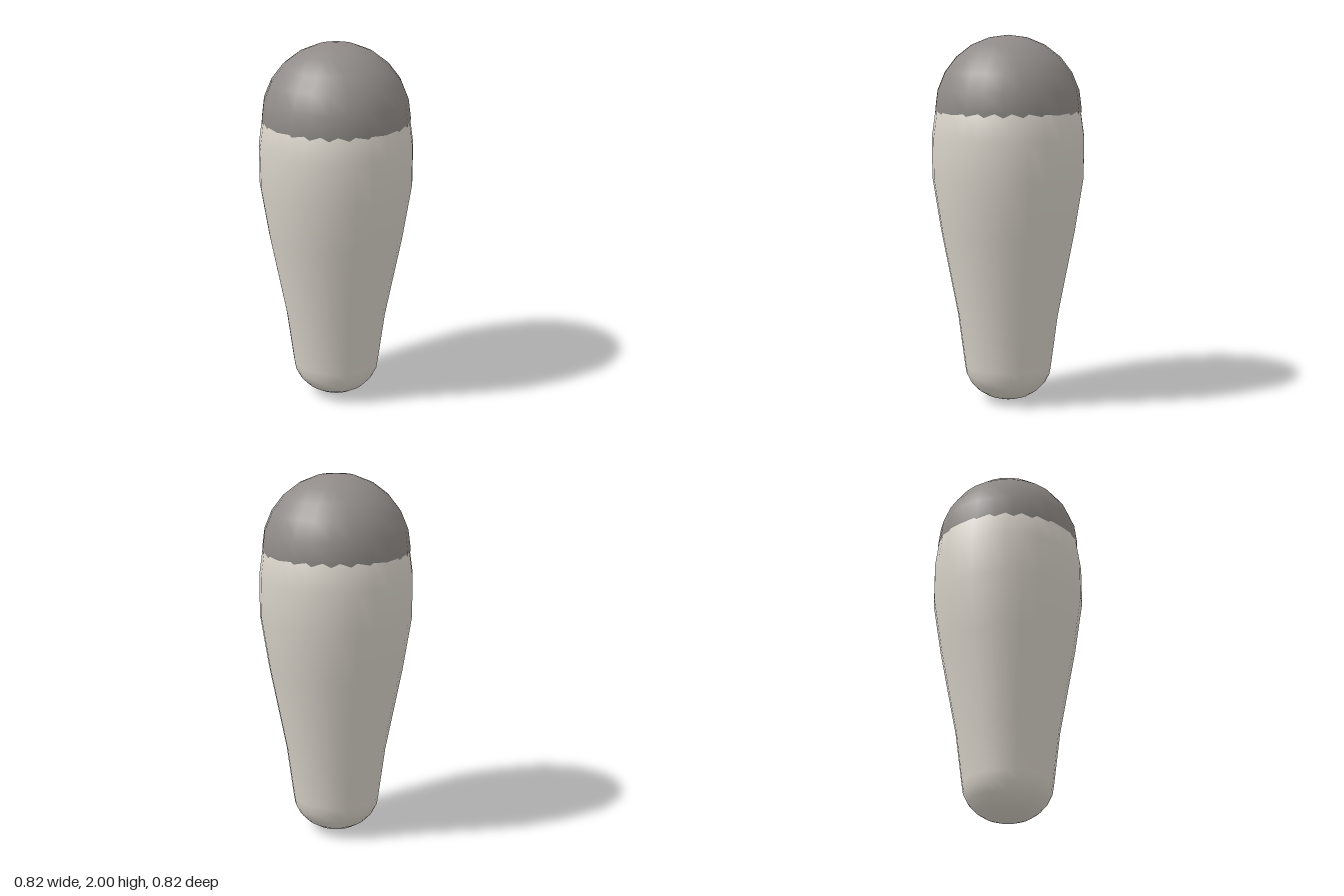
import * as THREE from 'three';

export function createModel() {
  const group = new THREE.Group();
  group.name = 'cappedPod';

  const shellMaterial = new THREE.MeshStandardMaterial({ color: 0xd8d2c8 });
  shellMaterial.name = 'warm off-white';
  const capMaterial = new THREE.MeshStandardMaterial({ color: 0x908b88 });
  capMaterial.name = 'warm grey';

  // Tapered body: rounded foot, then widening flanks that close in under the cap
  const profile = [];
  const footSteps = 6;
  for (let i = 0; i <= footSteps; i++) {
    const a = (i / footSteps) * Math.PI / 2;
    profile.push(new THREE.Vector2(0.24 * Math.sin(a), 0.2 * (1 - Math.cos(a))));
  }
  for (const [r, y] of [
    [0.276, 0.48], [0.366, 0.95], [0.411, 1.24], [0.411, 1.46],
    [0.39, 1.61], [0.33, 1.72], [0, 1.8],
  ]) profile.push(new THREE.Vector2(r, y));
  const body = new THREE.Mesh(new THREE.LatheGeometry(profile, 28), shellMaterial);
  body.name = 'body';
  group.add(body);

  // Domed cap, sunk slightly into the body
  const capRadius = 0.395;
  const cap = new THREE.Mesh(
    new THREE.SphereGeometry(capRadius, 24, 7, 0, Math.PI * 2, 0, Math.PI * 7 / 12),
    capMaterial,
  );
  cap.name = 'cap';
  cap.position.y = 2 - capRadius;
  group.add(cap);

  return group;
}
